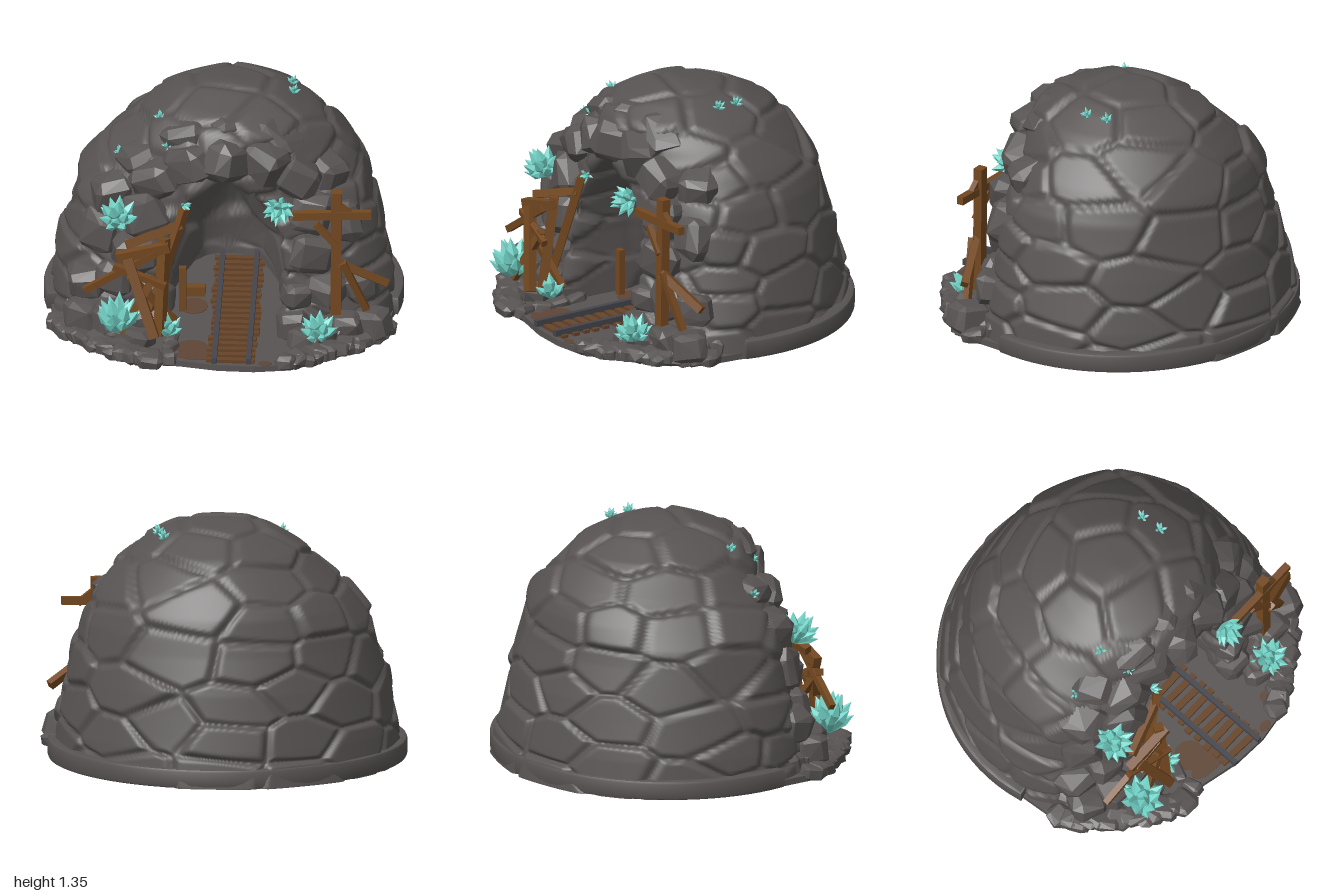
import * as THREE from 'three';
import { ConvexGeometry } from 'three/addons/geometries/ConvexGeometry.js';
import { toCreasedNormals } from 'three/addons/utils/BufferGeometryUtils.js';

const mat = (name, color) => Object.assign(new THREE.MeshStandardMaterial({ color }), { name });
const V = (x, y, z) => new THREE.Vector3(x, y, z);
const Y = V(0, 1, 0);

// piecewise linear lookup in [[key, value], ...]
function table(rows, k) {
  for (let i = 1; i < rows.length; i++) {
    const [a, va] = rows[i - 1], [b, vb] = rows[i];
    if (k <= b) return va + (vb - va) * Math.max(0, (k - a) / (b - a));
  }
  return rows[rows.length - 1][1];
}

// mound half width, back depth, front depth, front squareness and tunnel half width by height
const TOP = 1.355;
const WIDTH = [[0, 0.96], [0.2, 0.94], [0.4, 0.89], [0.8, 0.8], [0.97, 0.69], [1.1, 0.56], [1.2, 0.46], [1.28, 0.33], [1.33, 0.2], [TOP, 0.02]];
const BACK = [[0, 0.94], [0.2, 0.91], [0.5, 0.85], [0.7, 0.78], [0.9, 0.73], [1.05, 0.63], [1.2, 0.49], [1.29, 0.32], [1.33, 0.2], [TOP, 0.02]];
const FRONT = [[0, 0.6], [0.2, 0.55], [0.5, 0.5], [0.8, 0.48], [1.1, 0.5], [1.2, 0.45], [1.27, 0.33], [1.32, 0.18], [TOP, 0.02]];
const SQUARE = [[0, 3], [0.7, 2.9], [1.05, 1.9], [TOP, 1.8]];
const TUNNEL = [[0, 0.33], [0.4, 0.335], [0.6, 0.3], [0.8, 0.21], [0.92, 0.08], [0.96, 0]];
const midX = y => 0.04 * THREE.MathUtils.smoothstep(y, 0.8, 1.15);

function insideMound(p) {
  if (p.y >= TOP) return false;
  const n = p.z > 0 ? table(SQUARE, p.y) : 2;
  const depth = table(p.z > 0 ? FRONT : BACK, p.y);
  return (Math.abs(p.x - midX(p.y)) / table(WIDTH, p.y)) ** n + (Math.abs(p.z) / depth) ** n < 1;
}
// distance along a direction at which a test stops being true
function reach(dir, test) {
  let a = 0, b = 2;
  for (let i = 0; i < 20; i++) {
    const m = (a + b) / 2;
    if (test(dir.clone().multiplyScalar(m))) a = m; else b = m;
  }
  return a;
}

export function createModel() {
  const group = new THREE.Group();
  const rock = mat('rock', 0x575352), wood = mat('wood', 0x734820), crystal = mat('crystal', 0x74d4c8);
  const metal = mat('rail metal', 0x44454b), dirt = mat('dirt', 0x5e4535), sleeperWood = mat('sleeper wood', 0x664327);
  let seed = 7;
  const rnd = () => (seed = (seed * 16807) % 2147483647) / 2147483647;
  const spread = s => (rnd() - 0.5) * 2 * s;
  function add(name, geo, material, parent = group) {
    const m = new THREE.Mesh(geo, material);
    m.name = name;
    parent.add(m);
    return m;
  }
  function section(name) {
    const g = new THREE.Group();
    g.name = name;
    group.add(g);
    return g;
  }

  // mound: one skin running from the tunnel end, out over the lip and over to the back
  const NU = 190, NIN = 44, NOUT = 160, rows = NIN + NOUT;
  const points = [], index = [];
  for (let i = 0; i <= rows; i++) for (let j = 0; j <= NU; j++) {
    const u = Math.PI * j / NU, c = Math.cos(u), s = Math.sin(u);
    const r = reach(V(c, s, 0), p => Math.abs(p.x - 0.03) < table(TUNNEL, p.y) && p.y < 0.96);
    const ry = r * s, n = table(SQUARE, ry);
    const rimZ = table(FRONT, ry) * (1 - (Math.abs(r * c - midX(ry)) / table(WIDTH, ry)) ** n) ** (1 / n);
    if (i < NIN) {
      const a = Math.PI / 2 * i / NIN, k = Math.sin(a);
      points.push(V(c * r * k, s * r * k, rimZ - (rimZ + 0.5) * Math.cos(a) ** 0.85));
    } else {
      const start = Math.atan2(r, rimZ), phi = start + (Math.PI - start) * (i - NIN) / NOUT;
      const d = V(Math.sin(phi) * c, Math.sin(phi) * s, Math.cos(phi));
      points.push(d.clone().multiplyScalar(reach(d, insideMound)));
    }
    if (i < rows && j < NU) {
      const a = i * (NU + 1) + j, b = a + NU + 1;
      index.push(a, b, a + 1, b, b + 1, a + 1);
    }
  }
  const skin = new THREE.BufferGeometry().setFromPoints(points);
  skin.setIndex(index);
  skin.computeVertexNormals();
  const normals = points.map((p, i) => new THREE.Vector3().fromBufferAttribute(skin.attributes.normal, i));

  // boulders: scattered wide cells, each flattened towards its own plane, with grooves between
  const dist = (a, b) => Math.hypot(a.x - b.x, (a.y - b.y) * 1.9, a.z - b.z);
  const cells = [];
  for (let k = 0; k < 6000; k++) {
    const i = Math.floor(rnd() * points.length), p = points[i];
    const gap = p.z > 0.25 ? 0.24 : 0.35;
    if (cells.every(q => dist(q.p, p) > gap)) cells.push({ p, n: normals[i], lift: spread(0.018) });
  }
  const shaped = points.map((p, i) => {
    const near = cells.map(q => [dist(q.p, p), q]).sort((a, b) => a[0] - b[0]).slice(0, 4);
    let sum = 0, offset = 0;
    for (const [d, q] of near) {
      const w = Math.exp((near[0][0] - d) / 0.025);
      const plane = THREE.MathUtils.clamp(q.p.clone().sub(p).dot(q.n) * 0.45, -0.03, 0.03);
      offset += w * (plane + q.lift);
      sum += w;
    }
    const depth = i < (NIN - 5) * (NU + 1) ? 0.008 : 0.028;
    const groove = depth * Math.exp(-(((near[1][0] - near[0][0]) / 0.045) ** 2));
    const out = p.clone().addScaledVector(normals[i], offset / sum + 0.006 - groove);
    out.y = p.y < 1e-4 ? 0 : Math.max(0, out.y);
    return out;
  });
  const moundGeo = new THREE.BufferGeometry().setFromPoints(shaped);
  moundGeo.setIndex(index);
  moundGeo.computeVertexNormals();
  add('mound', moundGeo, rock);

  // flat ground and the low stone band round the back
  const flat = (shape, depth, bevel = 0) => new THREE.ExtrudeGeometry(shape, {
    depth: depth - bevel * 2, bevelEnabled: bevel > 0, bevelSize: bevel, bevelThickness: bevel, bevelSegments: 2, steps: 1,
  }).rotateX(-Math.PI / 2).translate(0, bevel, 0);
  const arc = (w, d, from, to) => Array.from({ length: 49 }, (_, i) => {
    const a = from + (to - from) * i / 48;
    return new THREE.Vector2(Math.cos(a) * w, Math.sin(a) * d);
  });
  const front = [[-0.93, 0.42], [-0.82, 0.6], [-0.64, 0.74], [-0.42, 0.88], [-0.22, 0.89], [0, 0.94], [0.2, 0.95], [0.4, 0.92], [0.6, 0.79], [0.78, 0.66], [0.92, 0.46]];
  const outline = [...arc(0.97, 0.93, 0, Math.PI), ...front.map(([x, z]) => new THREE.Vector2(x, -z))];
  add('ground', flat(new THREE.Shape(outline), 0.035), rock);
  const band = [...arc(0.982, 0.94, -0.2, Math.PI + 0.2), ...arc(0.84, 0.8, Math.PI + 0.2, -0.2)];
  add('baseBand', toCreasedNormals(flat(new THREE.Shape(band), 0.11, 0.017), 0.6), rock);

  // angular loose stones, never sinking below the ground
  function stone(parent, x, y, z, sx, sy, sz, roll = 0) {
    const turn = new THREE.Euler(spread(0.25), spread(0.7), roll + spread(0.2)), pts = [];
    for (let k = 0; k < 8; k++) for (let e = 0; e < 3; e++) {
      const q = [k & 1 ? 1 : -1, k & 2 ? 1 : -1, k & 4 ? 1 : -1].map((v, a) => v * (a === e ? 0.5 : 0.3) * (0.75 + rnd() * 0.3));
      const p = V(q[0] * sx, q[1] * sy, q[2] * sz).applyEuler(turn).add(V(x, y, z));
      p.y = Math.max(0.003, p.y);
      pts.push(p);
    }
    add('stone', new ConvexGeometry(pts), rock, parent);
  }
  const edging = section('edgeStones');
  for (const side of [-1, 1]) for (let k = 0; k < 14; k++) {
    const t = k / 13, size = 0.12 + rnd() * 0.05;
    const x = 0.9 - 0.52 * t ** 1.2, z = 0.42 + 0.46 * t ** 0.8;
    stone(edging, side * x, 0.035, z, size, 0.09, size);
    if (t < 0.7) stone(edging, side * (x - 0.1), 0.06, z - 0.1, size * 1.3, 0.12 + rnd() * 0.07, size * 1.2);
  }
  for (let z = 0.52; z < 0.86; z += 0.11) stone(edging, -0.26 - rnd() * 0.02, 0.035, z, 0.08, 0.08, 0.14);
  const foot = section('footBoulders');
  for (const [x, y, z, s] of [[0.84, 0.1, 0.5, 0.2], [0.7, 0.1, 0.55, 0.18], [0.41, 0.1, 0.54, 0.17], [0.42, 0.26, 0.49, 0.16], [-0.42, 0.12, 0.55, 0.19],
    [-0.6, 0.14, 0.56, 0.2], [-0.76, 0.12, 0.5, 0.2], [-0.4, 0.3, 0.48, 0.17], [0.76, 0.28, 0.4, 0.18], [-0.74, 0.28, 0.4, 0.2], [0.58, 0.28, 0.47, 0.2], [-0.58, 0.34, 0.47, 0.2]])
    stone(foot, x, y, z, s * 1.15, s, s);
  // big boulders overhanging the tunnel mouth
  const lip = section('archBoulders');
  for (const [x, y, z, w, h, roll] of [[-0.42, 0.72, 0.44, 0.28, 0.26, 0.2], [-0.36, 0.92, 0.41, 0.28, 0.22, 0.5], [-0.17, 1.03, 0.42, 0.28, 0.25, 0.3],
    [0.05, 1.06, 0.44, 0.34, 0.26, 0], [0.25, 1.04, 0.43, 0.26, 0.28, -0.4], [0.42, 0.94, 0.4, 0.28, 0.22, -0.5], [0.49, 0.74, 0.42, 0.26, 0.26, -0.2],
    [-0.2, 1.15, 0.32, 0.28, 0.18, 0.2], [0.3, 1.15, 0.31, 0.28, 0.18, -0.3], [0.05, 1.2, 0.31, 0.28, 0.16, 0], [-0.6, 0.8, 0.32, 0.26, 0.22, 0.4],
    [0.57, 0.91, 0.26, 0.24, 0.22, -0.4], [-0.45, 0.97, 0.27, 0.24, 0.2, 0.4], [-0.47, 0.5, 0.45, 0.27, 0.24, 0], [0.5, 0.5, 0.44, 0.27, 0.26, 0], [0.66, 0.66, 0.33, 0.24, 0.26, 0], [-0.66, 0.58, 0.36, 0.24, 0.26, 0]])
    stone(lip, x, y, z, w, h, 0.23, roll);

  // track
  const track = section('track');
  for (const x of [-0.02, 0.17]) {
    add('rail', new THREE.BoxGeometry(0.028, 0.035, 1.38), metal, track).position.set(x, 0.065, 0.26);
  }
  for (let z = -0.4; z < 0.94; z += 0.068) {
    const s = add('sleeper', new THREE.BoxGeometry(0.27, 0.018, 0.038), sleeperWood, track);
    s.position.set(0.075 + spread(0.01), 0.044, z);
    s.rotation.y = spread(0.05);
  }
  // dirt patches
  for (const [x, z, rx, rz] of [[-0.15, 0.72, 0.09, 0.09], [-0.1, 0.82, 0.14, 0.06], [0.39, 0.82, 0.04, 0.06], [0.26, 0.91, 0.04, 0.025], [-0.16, 0.2, 0.08, 0.1]]) {
    const d = add('dirtPatch', new THREE.CylinderGeometry(1, 1, 0.004, 11), dirt);
    d.scale.set(rx, 1, rz);
    d.position.set(x, 0.0365, z);
  }

  // timber props
  function beam(parent, a, b, w = 0.05) {
    const from = V(...a), to = V(...b);
    const m = add('beam', new THREE.BoxGeometry(w, from.distanceTo(to), w * 0.9), wood, parent);
    m.position.copy(from).add(to).multiplyScalar(0.5);
    m.quaternion.setFromUnitVectors(Y, to.sub(from).normalize());
  }
  const leftProps = section('leftSideProps'), rightProps = section('rightSideProps');
  [[[0.64, 0.08, 0.55], [0.645, 0.92, 0.54], 0.058], [[0.4, 0.775, 0.55], [0.84, 0.79, 0.55], 0.045], [[0.66, 0.49, 0.56], [0.92, 0.33, 0.47], 0.045],
    [[0.81, 0.19, 0.52], [0.68, 0.5, 0.57], 0.038], [[0.53, 0.73, 0.56], [0.65, 0.6, 0.57], 0.035], [[0.66, 0.84, 0.55], [0.75, 0.77, 0.55], 0.035]]
    .forEach(b => beam(leftProps, ...b));
  [[[-0.36, 0.11, 0.76], [-0.51, 0.55, 0.66], 0.055], [[-0.2, 0.79, 0.52], [-0.4, 0.14, 0.6], 0.045], [[-0.57, 0.55, 0.65], [-0.28, 0.625, 0.66], 0.055],
    [[-0.75, 0.34, 0.64], [-0.35, 0.59, 0.67], 0.038], [[-0.31, 0.66, 0.63], [-0.33, 0.1, 0.7], 0.055], [[-0.59, 0.5, 0.66], [-0.3, 0.4, 0.7], 0.038],
    [[-0.52, 0.61, 0.62], [-0.22, 0.7, 0.53], 0.045], [[-0.55, 0.13, 0.74], [-0.36, 0.45, 0.68], 0.04], [[-0.24, 0.14, 0.62], [-0.5, 0.45, 0.68], 0.038],
    [[-0.22, 0.03, 0.25], [-0.22, 0.3, 0.25], 0.04], [[-0.24, 0.06, 0.05], [-0.1, 0.06, 0.05], 0.06]]
    .forEach(b => beam(rightProps, ...b));

  // crystals: broad five-sided shards fanned round a facing direction
  const shard = new THREE.LatheGeometry([[0.1, 0], [0.18, 0.6], [0, 1]].map(p => new THREE.Vector2(...p)), 5).toNonIndexed();
  shard.computeVertexNormals();
  function cluster(x, y, z, size, count, facing, fan = 1.2) {
    const g = section('crystalCluster');
    g.position.set(x, y, z);
    g.quaternion.setFromUnitVectors(Y, V(...facing).normalize());
    for (let k = 0; k < count; k++) {
      const m = add('shard', shard, crystal, g), a = k * 2.4, tilt = fan * Math.sqrt(k / count);
      m.quaternion.setFromUnitVectors(Y, V(Math.sin(tilt) * Math.cos(a), Math.cos(tilt), Math.sin(tilt) * Math.sin(a)));
      m.scale.setScalar(size * (1.1 - 0.35 * k / count));
    }
  }
  const up = [0, 1, 0.12];
  cluster(-0.565, 0.69, 0.51, 0.165, 16, [0, 0.9, 0.35]);
  cluster(-0.56, 0.14, 0.73, 0.21, 16, up, 0.95);
  cluster(-0.29, 0.08, 0.66, 0.14, 9, up, 1);
  cluster(0.55, 0.08, 0.67, 0.155, 16, up);
  cluster(0.33, 0.82, 0.53, 0.13, 14, [-0.1, 0, 0.7]);
  cluster(-0.21, 0.79, 0.48, 0.06, 6, [0.5, 0, 0.6]);
  // small tufts seated on the mound
  for (const [x, y, z] of [[-0.32, 1.13, 0.21], [-0.28, 1.06, 0.37], [-0.55, 0.98, 0.24], [0.37, 1.24, -0.12], [0.38, 1.24, 0]]) {
    const d = V(x, y, z).normalize(), p = d.clone().multiplyScalar(reach(d, insideMound) - 0.005);
    cluster(p.x, p.y, p.z, 0.055, 7, [d.x, d.y, d.z]);
  }
  return group;
}
